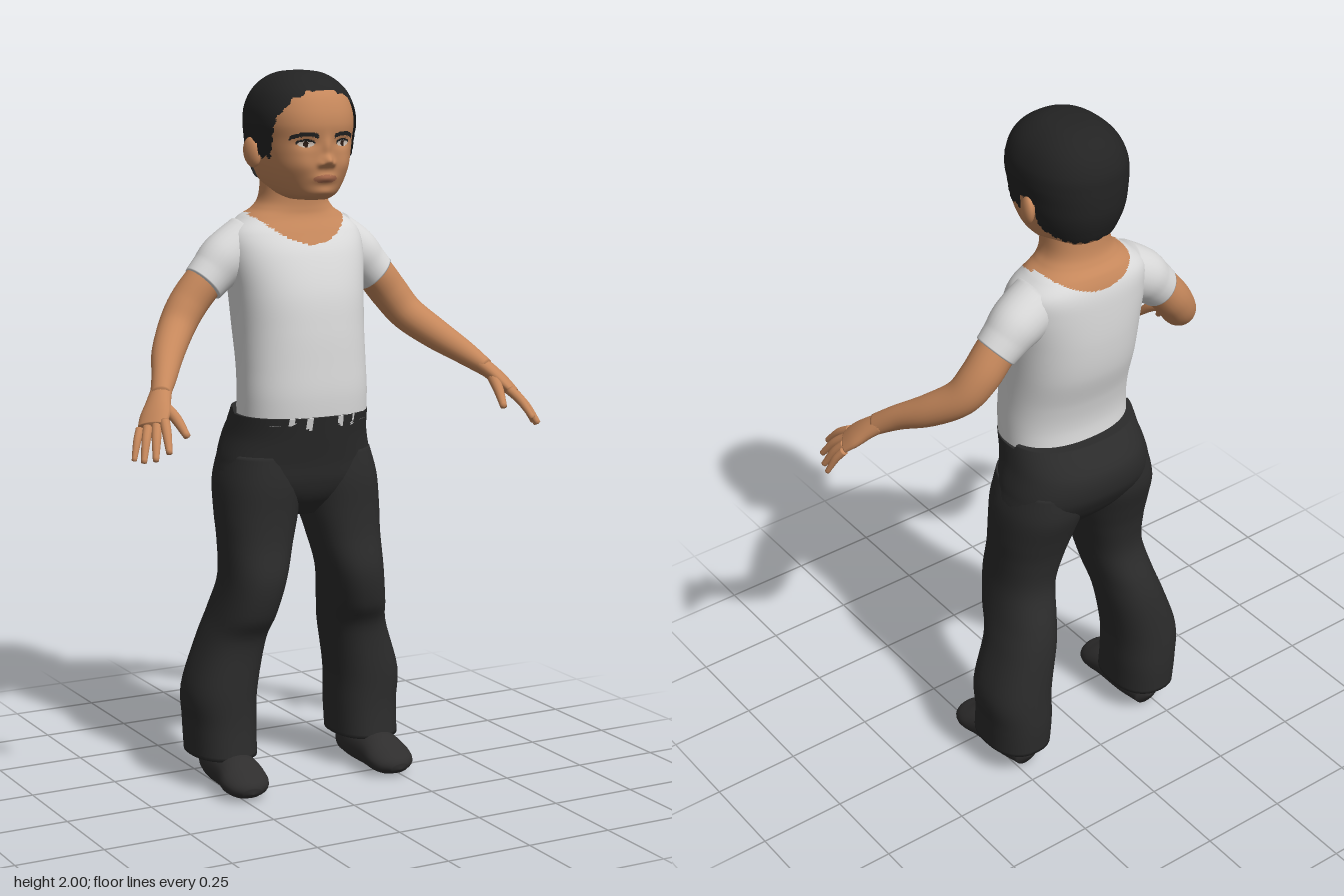
import * as THREE from 'three';

const mat = (name, color, side = THREE.FrontSide) => {
  const m = new THREE.MeshStandardMaterial({ color, side });
  m.name = name;
  return m;
};

// Catmull-Rom interpolation through a list of number rows, t in 0..1
function spline(list, t) {
  const f = t * (list.length - 1), i = Math.min(Math.floor(f), list.length - 2), u = f - i;
  const at = k => list[Math.max(0, Math.min(list.length - 1, k))];
  return list[i].map((_, c) => {
    const a = at(i - 1)[c], b = at(i)[c], d = at(i + 1)[c], e = at(i + 2)[c];
    return b + 0.5 * u * (d - a + u * (2 * a - 5 * b + 4 * d - e + u * (3 * (b - d) + e - a)));
  });
}

// Skin a stack of closed rings of points
function skinRings(rings) {
  const n = rings[0].length, index = [];
  for (let i = 0; i < rings.length - 1; i++) {
    for (let j = 0; j < n; j++) {
      const a = i * n + j, b = i * n + (j + 1) % n;
      index.push(a, b, b + n, a, b + n, a + n);
    }
  }
  const g = new THREE.BufferGeometry().setFromPoints(rings.flat());
  g.setIndex(index);
  g.computeVertexNormals();
  return g;
}

// Upright body from sections [y, centre x, half width, front z, back z]
function body(sections, rows, cols, { power = 2.3, focus = 0, sculpt = null } = {}) {
  const bend = v => Math.sign(v) * Math.abs(v) ** (2 / power);
  const rings = [];
  for (let i = -1; i <= rows + 1; i++) {
    const [y, xc, hw, zf, zb] = spline(sections, Math.max(0, Math.min(rows, i)) / rows);
    const cap = i < 0 || i > rows ? 0 : 1;
    rings.push(Array.from({ length: cols }, (_, j) => {
      const a0 = j / cols * Math.PI * 2, a = a0 - focus * Math.sin(a0);
      const p = new THREE.Vector3(xc + cap * hw * bend(Math.sin(a)), y,
        (zf + zb) / 2 + cap * (zf - zb) / 2 * bend(Math.cos(a)));
      if (sculpt && Math.cos(a) > 0) sculpt(p);
      return p;
    }));
  }
  return skinRings(rings);
}

// Limb along points [x, y, z, radius, thickness]; the radius lies along 'wide'
function limb(points, wide = [0, 0, 1], rows = 24, cols = 20) {
  const list = points.map(([x, y, z, r, q = r]) => [x, y, z, r, q]), rings = [];
  const pos = t => new THREE.Vector3(...spline(list, t));
  for (let i = -1; i <= rows + 1; i++) {
    const t = Math.max(0, Math.min(rows, i)) / rows, [, , , r, q] = spline(list, t);
    const d = pos(Math.min(1, t + 0.02)).sub(pos(Math.max(0, t - 0.02))).normalize();
    const A = new THREE.Vector3(...wide).addScaledVector(d, -d.dot(new THREE.Vector3(...wide))).normalize();
    const B = d.clone().cross(A), c = pos(t), cap = i < 0 || i > rows ? 0 : 1;
    if (!cap) c.addScaledVector(d, Math.sign(i) * q * 0.35);
    rings.push(Array.from({ length: cols }, (_, j) => {
      const a = j / cols * Math.PI * 2;
      return c.clone().addScaledVector(A, cap * r * Math.cos(a)).addScaledVector(B, cap * q * Math.sin(a));
    }));
  }
  return skinRings(rings);
}

// Sort faces into material groups by their centre; rule returns a slot, or -1 to drop the face
function paint(g, slots, rule) {
  const p = g.attributes.position, old = g.index.array, lists = Array.from({ length: slots }, () => []);
  const mid = (f, k) => (p.getComponent(old[f], k) + p.getComponent(old[f + 1], k) + p.getComponent(old[f + 2], k)) / 3;
  for (let f = 0; f < old.length; f += 3) {
    const s = rule(mid(f, 0), mid(f, 1), mid(f, 2));
    if (s >= 0) lists[s].push(old[f], old[f + 1], old[f + 2]);
  }
  g.setIndex(lists.flat());
  let start = 0;
  lists.forEach((l, s) => { g.addGroup(start, l.length, s); start += l.length; });
  return g;
}

function mirrored(g) {
  const m = g.clone().scale(-1, 1, 1), ix = m.index.array;
  for (let f = 0; f < ix.length; f += 3) [ix[f], ix[f + 1]] = [ix[f + 1], ix[f]];
  m.computeVertexNormals();
  return m;
}

export function createModel() {
  const root = new THREE.Group();
  root.name = 'child';
  const skin = mat('skin', 0xc5875b), shirt = mat('shirt white', 0xdcdcdc), trousers = mat('trouser black', 0x2b2b2b);
  const hairMat = mat('hair black', 0x232323, THREE.DoubleSide), shoe = mat('shoe black', 0x2f2e2e);
  const eyeWhite = mat('eye white', 0xc9bdb2), iris = mat('iris brown', 0x2a1a14), lips = mat('lip brown', 0xa8694c);
  const add = (name, g, m) => {
    const mesh = new THREE.Mesh(g, m);
    mesh.name = name;
    root.add(mesh);
  };
  const pair = (name, g, m) => {
    add('left ' + name, g, m);
    add('right ' + name, mirrored(g), m);
  };

  // Head with sculpted face: bumps are [x, y, x spread, y spread, depth]
  const bumps = [[0, 1.762, 0.016, 0.014, 0.022], [0, 1.797, 0.012, 0.028, 0.008], [0, 1.715, 0.03, 0.012, 0.009],
    [0, 1.677, 0.03, 0.013, 0.006]];
  for (const s of [-1, 1]) {
    bumps.push([s * 0.055, 1.81, 0.026, 0.014, -0.008], [s * 0.019, 1.754, 0.009, 0.009, 0.008],
      [s * 0.065, 1.75, 0.03, 0.03, 0.006]);
  }
  const sculpt = p => {
    let dz = 0;
    for (const [x, y, rx, ry, h] of bumps) dz += h * Math.exp(-(((p.x - x) / rx) ** 2) - ((p.y - y) / ry) ** 2);
    p.z += dz;
  };
  const headSections = [[1.655, 0, 0.05, 0.045, -0.1], [1.67, 0, 0.078, 0.066, -0.165], [1.7, 0, 0.1, 0.078, -0.2],
    [1.74, 0, 0.117, 0.086, -0.22], [1.78, 0, 0.127, 0.088, -0.232], [1.82, 0, 0.132, 0.09, -0.236],
    [1.86, 0, 0.136, 0.094, -0.236], [1.9, 0, 0.132, 0.086, -0.232], [1.94, 0, 0.115, 0.066, -0.213],
    [1.97, 0, 0.087, 0.032, -0.18], [1.988, 0, 0.052, -0.012, -0.135], [1.994, 0, 0.002, -0.069, -0.073]];
  const headShape = () => body(headSections, 120, 160, { focus: 0.45, sculpt });
  const inside = (x, y, cx, cy, rx, ry) => ((x - cx) / rx) ** 2 + ((y - cy) / ry) ** 2 < 1;
  add('head', paint(headShape(), 5, (x, y, z) => {
    const ax = Math.abs(x);
    if (z < 0) return 0;
    if (inside(ax, y, 0.056, 1.808, 0.007, 0.008)) return 2;
    if (inside(ax, y, 0.056, 1.808, 0.021, 0.008)) return 1;
    if (inside(ax, y, 0.056, 1.812, 0.025, 0.009)) return 4;
    if (ax > 0.024 && ax < 0.095 && Math.abs(y - 1.835 + 7 * (ax - 0.055) ** 2) < 0.006) return 4;
    if (inside(ax, y, 0, 1.714, 0.036, 0.011)) return 3;
    return 0;
  }), [skin, eyeWhite, iris, lips, hairMat]);

  // Hair: the head surface pushed outwards and trimmed along the hairline
  const hair = headShape(), hp = hair.attributes.position, hn = hair.attributes.normal;
  for (let i = 0; i < hp.count; i++) {
    hp.setXYZ(i, hp.getX(i) + hn.getX(i) * 0.007, hp.getY(i) + hn.getY(i) * 0.007, hp.getZ(i) + hn.getZ(i) * 0.007);
  }
  const hairline = [[1.7, 0], [1.765, 0], [1.84, 0.02], [1.9, 0.043], [1.95, 0.066], [1.97, 0.2], [2.1, 0.2]];
  paint(hair, 1, (x, y, z) => {
    const k = hairline.findIndex(h => h[0] > y);
    if (k < 1) return -1;
    const [a, b] = [hairline[k - 1], hairline[k]];
    const front = a[1] + (b[1] - a[1]) * (y - a[0]) / (b[0] - a[0]) + 0.004 * Math.sin(x * 170) + 0.003 * Math.sin(y * 260);
    const low = z > -0.055 ? 1.77 : z > -0.115 ? 1.81 : Math.max(1.703, 1.74 - (-0.115 - z) * 0.5);
    return z < front && y > low + 0.005 * Math.sin(z * 190 + x * 150) ? 0 : -1;
  });
  add('hair', hair, hairMat);

  // Ears
  const ear = new THREE.SphereGeometry(1, 20, 14).scale(0.017, 0.042, 0.03)
    .rotateX(-0.25).rotateY(-0.3).translate(0.136, 1.78, -0.088);
  pair('ear', ear, skin);

  // Torso and neck, shirt below the scooped neckline
  const torso = body([[1.04, 0, 0.188, 0.074, -0.195], [1.12, 0, 0.187, 0.079, -0.19], [1.2, 0, 0.185, 0.077, -0.203],
    [1.3, 0, 0.186, 0.072, -0.232], [1.4, 0, 0.192, 0.06, -0.244], [1.5, 0, 0.203, 0.03, -0.245],
    [1.56, 0, 0.196, 0, -0.24], [1.6, 0, 0.153, -0.024, -0.225], [1.625, 0, 0.115, -0.03, -0.203],
    [1.66, 0, 0.095, -0.03, -0.19], [1.74, 0, 0.09, -0.025, -0.185]], 120, 96);
  add('shirt and neck', paint(torso, 2, (x, y, z) => {
    const line = z > -0.11 ? 1.53 + 3.9 * x * x : 1.568 + 2.6 * x * x;
    return y > Math.min(line, 1.62) ? 1 : 0;
  }), [shirt, skin]);
  pair('sleeve', limb([[0.13, 1.532, -0.128, 0.078], [0.2, 1.488, -0.128, 0.074], [0.24, 1.452, -0.127, 0.065],
    [0.27, 1.423, -0.125, 0.06]], [0, 0, 1], 20, 28), shirt);

  // Arms
  pair('arm', limb([[0.2, 1.49, -0.127, 0.055], [0.27, 1.425, -0.127, 0.055], [0.32, 1.365, -0.125, 0.054],
    [0.365, 1.305, -0.102, 0.05], [0.42, 1.25, -0.035, 0.044], [0.468, 1.203, 0.045, 0.034],
    [0.505, 1.165, 0.1, 0.03, 0.024]], [0, 0, 1], 40, 24), skin);

  // Hands: a flat palm, four fingers and a thumb
  pair('palm', limb([[0.495, 1.175, 0.085, 0.03, 0.023], [0.518, 1.15, 0.115, 0.036, 0.022],
    [0.54, 1.122, 0.143, 0.044, 0.02], [0.56, 1.097, 0.165, 0.042, 0.015]], [0.05, -0.02, -0.05]), skin);
  const fingers = [['index finger', [0.532, 1.11, 0.185], [0.557, 1.042, 0.265], 0.0125],
    ['middle finger', [0.55, 1.1, 0.175], [0.587, 1.022, 0.247], 0.0125],
    ['ring finger', [0.568, 1.094, 0.158], [0.605, 1.013, 0.212], 0.012],
    ['little finger', [0.583, 1.088, 0.14], [0.617, 1.013, 0.177], 0.0105],
    ['thumb', [0.508, 1.14, 0.135], [0.487, 1.073, 0.225], 0.0145]];
  for (const [name, a, b, r] of fingers) {
    const mid = a.map((v, k) => (v + b[k]) / 2 + (k === 1 ? 0.008 : 0));
    pair(name, limb([[...a, r * 1.1], [...mid, r], [...b, r * 0.65]], [1, 0, 0], 12, 12), skin);
  }

  // Trousers: hips, with bits of shirt hem showing at the front, and flared legs
  const hips = body([[0.77, 0, 0.06, -0.03, -0.15], [0.82, 0, 0.16, 0.015, -0.2], [0.87, 0, 0.225, 0.038, -0.238],
    [0.93, 0, 0.222, 0.05, -0.268], [1, 0, 0.204, 0.066, -0.268], [1.062, 0, 0.193, 0.08, -0.222]], 70, 140);
  hips.attributes.position.array.forEach((v, i, p) => {
    if (i % 3 === 1 && v > 1.03 && p[i + 1] < -0.1) p[i] += (v - 1.03) * 0.5;
  });
  add('hips', paint(hips, 2, (x, y, z) => {
    const ax = Math.abs(x), scrap = ax > 0.035 && ax < 0.1 && Math.sin(x * 130 + 1) > 0.45;
    return z > 0 && scrap && y > 1.035 + 0.012 * Math.sin(x * 60) ? 1 : 0;
  }), [trousers, shirt]);
  pair('trouser leg', body([[0.09, 0.228, 0.094, 0, -0.245], [0.18, 0.228, 0.097, -0.01, -0.25],
    [0.28, 0.228, 0.101, -0.01, -0.245], [0.42, 0.194, 0.09, -0.005, -0.233], [0.5, 0.175, 0.085, 0.036, -0.215],
    [0.6, 0.155, 0.087, 0.055, -0.18], [0.7, 0.14, 0.1, 0.04, -0.19], [0.78, 0.13, 0.112, 0.036, -0.212],
    [0.87, 0.12, 0.116, 0.038, -0.24], [0.95, 0.115, 0.098, 0.03, -0.24]], 50, 32), trousers);

  // Shoes
  pair('shoe', limb([[0.222, 0.045, -0.19, 0.04, 0.043], [0.225, 0.058, -0.12, 0.06, 0.058],
    [0.228, 0.055, -0.02, 0.064, 0.055], [0.232, 0.042, 0.04, 0.069, 0.042], [0.235, 0.033, 0.078, 0.055, 0.031],
    [0.236, 0.025, 0.096, 0.028, 0.016]], [1, 0, 0], 30, 24), shoe);

  return root;
}
